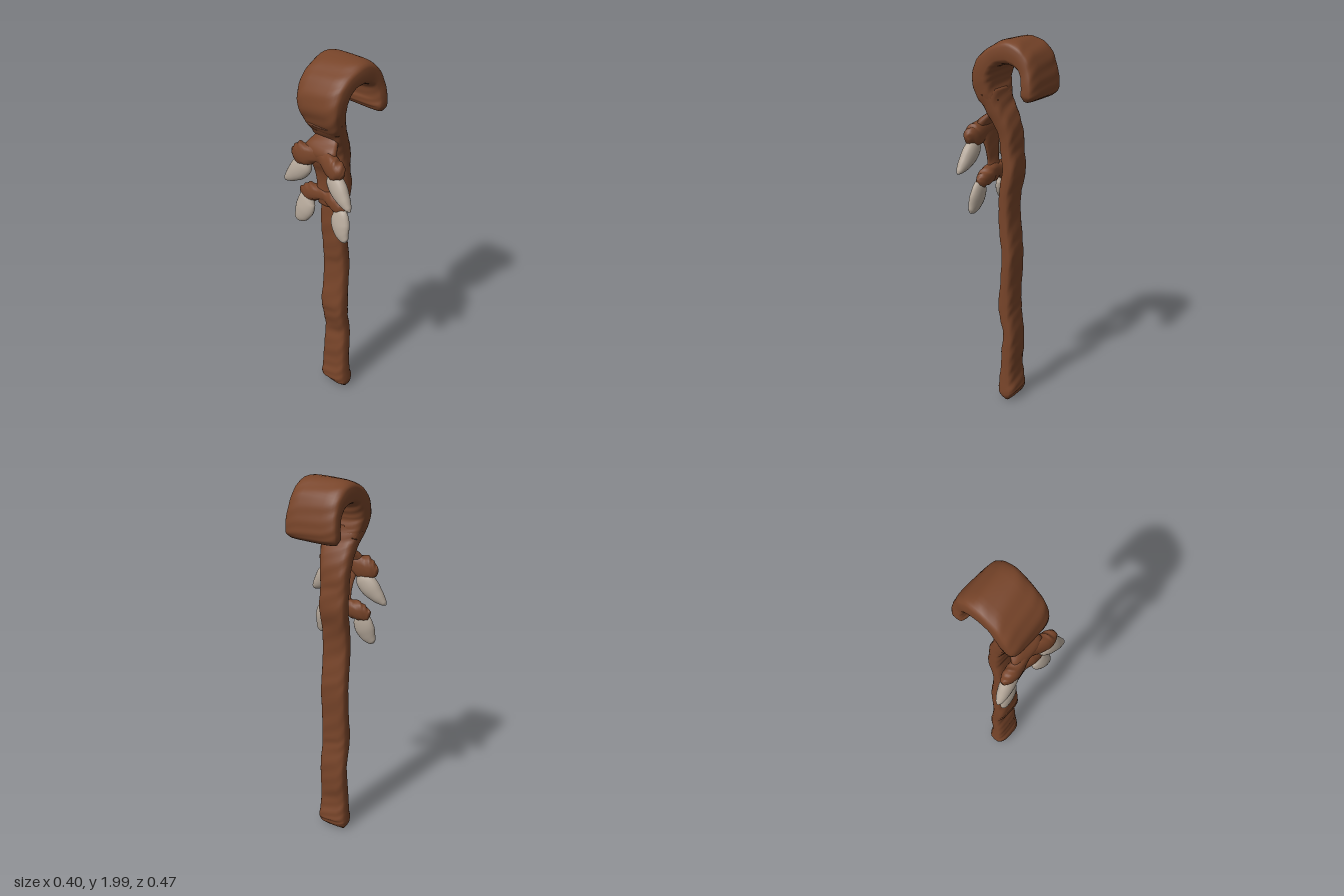
import * as THREE from 'three';

const brown = new THREE.MeshStandardMaterial({ color: 0x774429 });
brown.name = 'brown wood';
const bone = new THREE.MeshStandardMaterial({ color: 0xb5a89a });
bone.name = 'pale bone';

// Sweeps a squarish oval along a path. Each section is [x, y, z, a, b]:
// b is the half width along the axis "across", a the half width at right angles to it.
function sweep(sections, across, steps, power = 1, bump = 0, sides = 20) {
  const path = new THREE.CatmullRomCurve3(sections.map((s) => new THREE.Vector3(s[0], s[1], s[2])));
  const size = new THREE.CatmullRomCurve3(
    sections.map((s, i) => new THREE.Vector3(s[3], s[4], i)), false, 'catmullrom', 0.4);
  const pos = [];
  const index = [];
  const rounded = (v) => Math.sign(v) * Math.pow(Math.abs(v), power);
  for (let i = 0; i <= steps; i++) {
    const p = path.getPoint(i / steps);
    const r = size.getPoint(i / steps);
    const t = path.getTangent(i / steps);
    const n = t.clone().cross(across).normalize();
    const w = n.clone().cross(t).normalize();
    for (let k = 0; k < sides; k++) {
      const q = (k / sides) * Math.PI * 2;
      const wave = 1 + bump * Math.sin(i * 0.9 + 3 * q) * Math.cos(i * 0.37 + q);
      const v = p.clone()
        .addScaledVector(n, r.x * rounded(Math.cos(q)) * wave)
        .addScaledVector(w, r.y * rounded(Math.sin(q)));
      pos.push(v.x, v.y, v.z);
    }
  }
  for (let i = 0; i < steps; i++) {
    for (let k = 0; k < sides; k++) {
      const a = i * sides + k;
      const b = i * sides + ((k + 1) % sides);
      index.push(a, a + sides, b, b, a + sides, b + sides);
    }
  }
  // End caps
  const first = pos.length / 3;
  const p0 = path.getPoint(0);
  const p1 = path.getPoint(1);
  pos.push(p0.x, p0.y, p0.z, p1.x, p1.y, p1.z);
  const last = steps * sides;
  for (let k = 0; k < sides; k++) {
    const m = (k + 1) % sides;
    index.push(first, k, m, first + 1, last + m, last + k);
  }
  const g = new THREE.BufferGeometry();
  g.setAttribute('position', new THREE.Float32BufferAttribute(pos, 3));
  g.setIndex(index);
  g.computeVertexNormals();
  return g;
}

const X = new THREE.Vector3(1, 0, 0);
const Z = new THREE.Vector3(0, 0, 1);

export function createModel() {
  const model = new THREE.Group();
  model.name = 'cane';
  const add = (name, geometry, material) => {
    const mesh = new THREE.Mesh(geometry, material);
    mesh.name = name;
    model.add(mesh);
  };

  // Gnarled shaft from the foot up to the neck
  add('shaft', sweep([
    [-0.01, 0.005, -0.02, 0.015, 0.07],
    [-0.01, 0.03, -0.02, 0.04, 0.085],
    [-0.013, 0.06, -0.02, 0.055, 0.087],
    [-0.015, 0.12, -0.02, 0.047, 0.083],
    [-0.015, 0.2, -0.02, 0.04, 0.079],
    [-0.008, 0.3, -0.02, 0.042, 0.077],
    [-0.003, 0.4, -0.02, 0.036, 0.076],
    [-0.02, 0.5, -0.02, 0.039, 0.077],
    [-0.026, 0.58, -0.02, 0.044, 0.077],
    [-0.018, 0.7, -0.02, 0.037, 0.077],
    [-0.01, 0.85, -0.02, 0.038, 0.076],
    [-0.018, 0.95, -0.02, 0.038, 0.076],
    [-0.028, 1.08, -0.02, 0.037, 0.076],
    [-0.022, 1.2, -0.02, 0.038, 0.077],
    [0.0, 1.32, -0.02, 0.042, 0.077],
    [-0.01, 1.42, -0.02, 0.04, 0.078],
    [-0.015, 1.5, -0.018, 0.043, 0.08],
    [-0.04, 1.58, -0.012, 0.045, 0.088],
    [-0.075, 1.65, -0.006, 0.046, 0.1],
    [-0.108, 1.72, -0.006, 0.053, 0.118],
  ], Z, 110, 0.6, 0.08), brown);

  // Broad hook, ending in a blunt lip
  add('hook', sweep([
    [-0.085, 1.67, -0.006, 0.044, 0.103],
    [-0.108, 1.72, -0.006, 0.053, 0.118],
    [-0.122, 1.79, -0.008, 0.058, 0.132],
    [-0.1, 1.86, -0.01, 0.057, 0.138],
    [-0.05, 1.91, -0.01, 0.054, 0.138],
    [0.045, 1.935, -0.01, 0.063, 0.142],
    [0.11, 1.905, -0.01, 0.054, 0.142],
    [0.145, 1.85, -0.008, 0.042, 0.143],
    [0.158, 1.785, -0.006, 0.041, 0.149],
    [0.155, 1.74, -0.006, 0.042, 0.149],
    [0.15, 1.713, -0.006, 0.02, 0.135],
  ], Z, 60, 0.5, 0.05, 28), brown);

  // Thin root that leaves the neck and hangs beside the shaft
  add('root', sweep([
    [-0.075, 1.655, 0, 0.015, 0.05],
    [-0.1, 1.61, 0, 0.02, 0.075],
    [-0.14, 1.56, 0, 0.028, 0.1],
    [-0.135, 1.5, 0, 0.02, 0.08],
    [-0.12, 1.43, 0, 0.012, 0.06],
    [-0.115, 1.36, 0, 0.012, 0.05],
    [-0.11, 1.3, 0, 0.025, 0.055],
    [-0.115, 1.25, 0, 0.012, 0.04],
  ], Z, 36, 0.8, 0.08), brown);

  // Two knotted saddles that hold the claws
  add('upperSaddle', sweep([
    [-0.163, 1.485, 0.165, 0.02, 0.012],
    [-0.163, 1.5, 0.14, 0.05, 0.033],
    [-0.155, 1.51, 0.1, 0.06, 0.038],
    [-0.14, 1.54, 0, 0.04, 0.028],
    [-0.15, 1.515, -0.1, 0.06, 0.038],
    [-0.15, 1.505, -0.15, 0.05, 0.03],
    [-0.15, 1.5, -0.182, 0.02, 0.012],
  ], X, 36, 0.85, 0.15), brown);
  add('lowerSaddle', sweep([
    [-0.118, 1.265, 0.14, 0.02, 0.012],
    [-0.115, 1.275, 0.11, 0.04, 0.03],
    [-0.11, 1.295, 0.06, 0.045, 0.036],
    [-0.11, 1.31, 0, 0.035, 0.028],
    [-0.11, 1.295, -0.07, 0.045, 0.036],
    [-0.115, 1.28, -0.12, 0.045, 0.03],
    [-0.118, 1.27, -0.16, 0.025, 0.012],
  ], X, 36, 0.85, 0.15), brown);

  // Claws, one pair on each saddle
  for (const s of [1, -1]) {
    const side = s > 0 ? 'front' : 'back';
    const dx = s > 0 ? 0 : 0.015;
    add(side + 'UpperClaw', sweep([
      [-0.155 + dx, 1.485, s * 0.085, 0.02, 0.015],
      [-0.16 + dx, 1.45, s * 0.11, 0.052, 0.032],
      [-0.165 + dx, 1.41, s * 0.145, 0.054, 0.036],
      [-0.172 + dx, 1.37, s * 0.185, 0.038, 0.03],
      [-0.178 + dx, 1.34, s * 0.219, 0.017, 0.017],
      [-0.18 + dx, 1.33, s * 0.231, 0.004, 0.004],
    ], X, 24), bone);
    add(side + 'LowerClaw', sweep([
      [-0.12, 1.275, s * 0.09, 0.025, 0.012],
      [-0.125, 1.24, s * 0.112, 0.052, 0.026],
      [-0.133, 1.19, s * 0.124, 0.058, 0.03],
      [-0.14, 1.15, s * 0.142, 0.047, 0.025],
      [-0.145, 1.12, s * 0.165, 0.024, 0.015],
      [-0.146, 1.112, s * 0.172, 0.006, 0.005],
    ], X, 24), bone);
  }
  return model;
}
